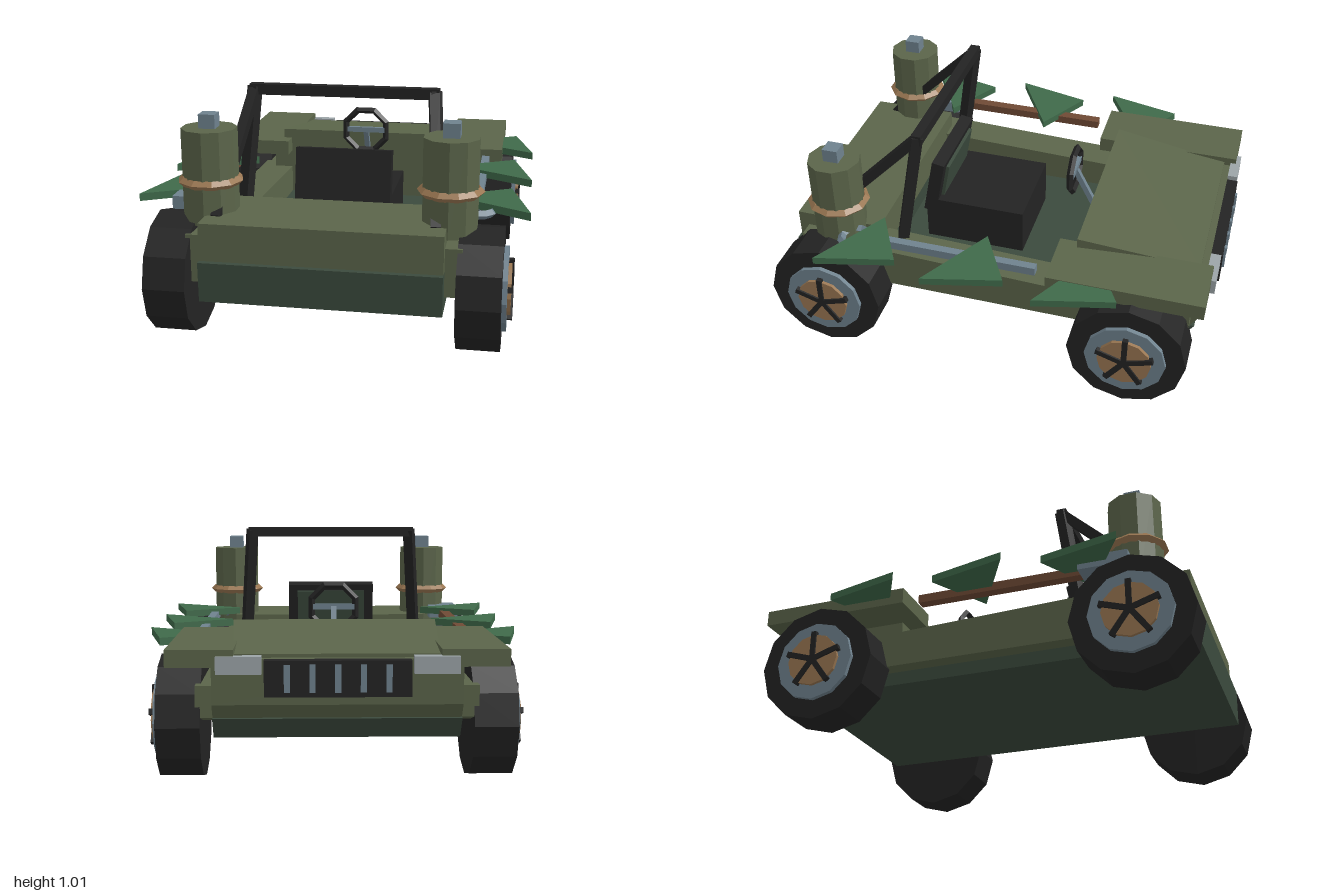
import * as THREE from 'three';

const mat = (name, color) => {
  const m = new THREE.MeshStandardMaterial({ color, flatShading: true });
  m.name = name;
  return m;
};

export function createModel() {
  const olive = mat('olive paint', 0x5b654a), darkGreen = mat('dark green', 0x3b4a3d);
  const black = mat('black', 0x232323), steel = mat('blue grey steel', 0x6f828e);
  const bronze = mat('bronze', 0x9a7752), wood = mat('brown wood', 0x6f4a35);
  const leaf = mat('spike green', 0x3f6a4a), lamp = mat('pale lamp', 0x9ca4a8);
  const model = new THREE.Group();
  model.name = 'buggy';

  const add = (name, geo, material, x = 0, y = 0, z = 0, parent = model) => {
    const m = new THREE.Mesh(geo, material);
    m.name = name;
    m.position.set(x, y, z);
    parent.add(m);
    return m;
  };
  // box given by its limits on each axis
  const box = (name, material, x0, x1, y0, y1, z0, z1) =>
    add(name, new THREE.BoxGeometry(x1 - x0, y1 - y0, z1 - z0), material,
      (x0 + x1) / 2, (y0 + y1) / 2, (z0 + z1) / 2);
  // side profile of [z, y] points, extruded across x
  const profile = (points, x0, x1) => {
    const shape = new THREE.Shape(points.map(p => new THREE.Vector2(...p)));
    const g = new THREE.ExtrudeGeometry(shape, { depth: x1 - x0, bevelEnabled: false });
    return g.rotateY(-Math.PI / 2).translate(x1, 0, 0);
  };
  // square bar between two points
  const bar = (name, material, a, b, w) => {
    const p = new THREE.Vector3(...a), q = new THREE.Vector3(...b);
    const m = add(name, new THREE.BoxGeometry(w, w, p.distanceTo(q)), material);
    m.position.copy(p).add(q).multiplyScalar(0.5);
    m.lookAt(q);
    return m;
  };

  // lower hull and cockpit floor
  add('hull', profile([[0.97, 0.38], [0.54, 0.38], [0.54, 0.3], [-0.92, 0.3],
    [-0.86, 0.21], [0.965, 0.21]], -0.5, 0.5), darkGreen);

  // upper body
  box('rearDeck', olive, -0.5, 0.5, 0.38, 0.54, 0.54, 0.945);
  add('engineBay', profile([[-0.37, 0.27], [-0.37, 0.54], [-0.945, 0.545], [-0.94, 0.36],
    [-0.9, 0.3]], -0.5, 0.5), olive);
  const hood = profile([[-0.37, 0.5], [-0.37, 0.63], [-0.91, 0.56], [-0.91, 0.5]], -0.45, 0.45);
  const hp = hood.attributes.position;
  for (let i = 0; i < hp.count; i++) if (hp.getZ(i) < -0.8) hp.setX(i, Math.sign(hp.getX(i)) * 0.41);
  hood.computeVertexNormals();
  add('hood', hood, olive);

  // grille and its bars
  box('grille', black, -0.29, 0.29, 0.4, 0.545, -0.99, -0.94);
  for (let i = -2; i <= 2; i++) box('grilleBar', steel, i * 0.1 - 0.012, i * 0.1 + 0.012, 0.42, 0.53, -1, -0.985);

  // seat with forward leaning backrest
  box('seatCushion', black, -0.215, 0.215, 0.3, 0.52, -0.055, 0.42);
  const rest = new THREE.Group();
  rest.name = 'seatBack';
  rest.position.set(0, 0.45, 0.405);
  rest.rotation.x = -0.19;
  model.add(rest);
  add('backrest', new THREE.BoxGeometry(0.43, 0.28, 0.06), black, 0, 0.14, 0, rest);
  add('backPad', new THREE.BoxGeometry(0.34, 0.18, 0.02), darkGreen, 0, 0.16, -0.035, rest);

  // steering wheel and column
  add('steeringWheel', new THREE.TorusGeometry(0.108, 0.016, 4, 8).rotateZ(Math.PI / 8), black, 0, 0.67, -0.25);
  bar('steeringColumn', steel, [0, 0.67, -0.255], [0, 0.45, -0.37], 0.025);
  box('steeringSpoke', steel, -0.1, 0.1, 0.66, 0.685, -0.26, -0.24);

  // roll bar crosspiece
  box('rollBarTop', black, -0.42, 0.42, 0.965, 1.012, 0.345, 0.39);

  for (const s of [-1, 1]) {
    const span = (a, b) => s > 0 ? [a, b] : [-b, -a];
    // side pods, fenders and headlights
    add('sidePod', profile([[0.9, 0.27], [0.9, 0.475], [-0.35, 0.43], [-0.9, 0.43], [-0.9, 0.3],
      [-0.8, 0.27]], ...span(0.41, 0.57)), olive);
    box('fender', olive, ...span(0.41, 0.68), 0.515, 0.585, -0.965, -0.285);
    box('headlight', lamp, ...span(0.3, 0.48), 0.49, 0.56, -0.985, -0.94);

    // roll bar legs and braces
    bar('rollBarPost', black, [s * 0.4, 1, 0.367], [s * 0.44, 0.42, 0.46], 0.048);
    bar('rollBarBrace', black, [s * 0.4, 0.985, 0.375], [s * 0.455, 0.53, 0.83], 0.042);

    // rear barrels with hoop and cap
    add('barrel', new THREE.CylinderGeometry(0.118, 0.118, 0.4, 10), olive, s * 0.505, 0.69, 0.725);
    add('barrelHoop', new THREE.TorusGeometry(0.12, 0.02, 4, 10).rotateX(Math.PI / 2), bronze, s * 0.505, 0.667, 0.725);
    add('barrelCap', new THREE.BoxGeometry(0.07, 0.08, 0.07), steel, s * 0.505, 0.91, 0.725);

    // flat triangular side spikes
    for (const z of [-0.46, 0.03, 0.52]) {
      const tri = new THREE.Shape([[0.48, 0], [0.745, -0.148], [0.83, 0.197]]
        .map(([x, d]) => new THREE.Vector2(s * x, -(z + d))));
      add('sideSpike', new THREE.ExtrudeGeometry(tri, { depth: 0.033, bevelEnabled: false })
        .rotateX(-Math.PI / 2), leaf, 0, 0.549, 0);
    }

    // wheels with rim, hub and five spokes
    for (const z of [-0.66, 0.74]) {
      const wheel = new THREE.Group();
      wheel.name = 'wheel';
      wheel.position.set(s * 0.64, 0.262, z);
      model.add(wheel);
      const disc = (name, r, x0, x1, m) => add(name,
        new THREE.CylinderGeometry(r, r, x1 - x0, 12).rotateZ(Math.PI / 2), m, s * (x0 + x1) / 2, 0, 0, wheel);
      disc('tyre', 0.262, -0.09, 0.09, black);
      disc('rim', 0.178, 0.08, 0.11, steel);
      disc('hub', 0.118, 0.1, 0.125, bronze);
      for (let i = 0; i < 5; i++) {
        const a = i * Math.PI * 2 / 5;
        const g = new THREE.BoxGeometry(0.022, 0.13, 0.024).translate(0, 0.065, 0).rotateX(a);
        add('spoke', g, black, s * 0.122, 0, 0, wheel);
      }
    }
  }

  // hammer on one side
  box('hammerHandle', wood, -0.625, -0.578, 0.53, 0.568, -0.235, 0.53);
  box('hammerHead', steel, -0.68, -0.53, 0.525, 0.582, 0.51, 0.725);

  // wrench on the other side
  box('wrenchShaft', steel, 0.585, 0.622, 0.53, 0.568, -0.225, 0.55);
  add('wrenchJaw', new THREE.TorusGeometry(0.065, 0.019, 4, 8, Math.PI * 1.4)
    .rotateZ(Math.PI * 0.8).rotateX(-Math.PI / 2), steel, 0.61, 0.549, 0.61);

  return model;
}
